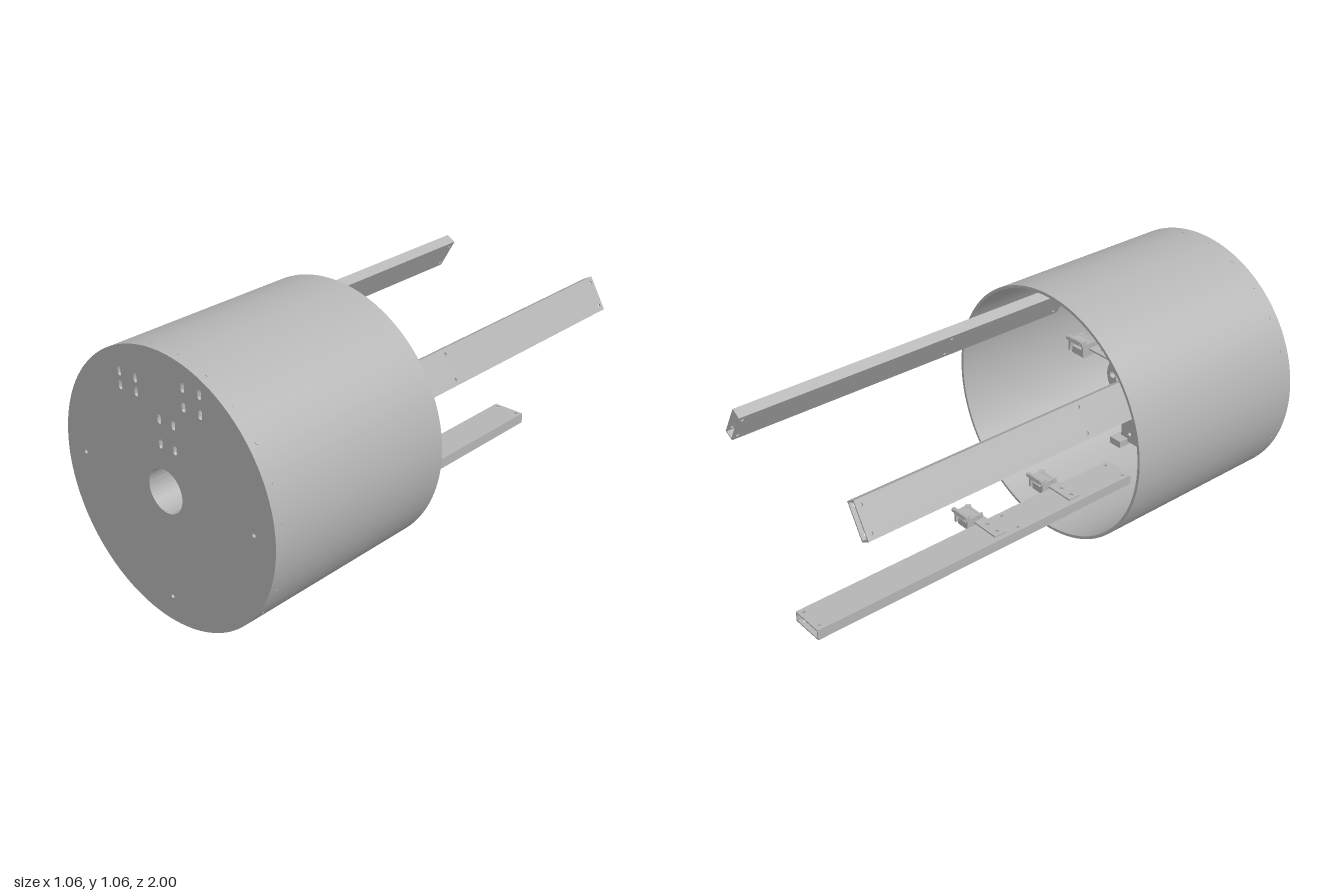
import * as THREE from 'three';
import { toCreasedNormals } from 'three/addons/utils/BufferGeometryUtils.js';

const AXIS = 0.532, R = 0.53, BACK = 0.155, RAIL_END = 0.58;

export function createModel() {
  const model = new THREE.Group();
  const metal = new THREE.MeshStandardMaterial({ color: 0xb4b4b4 });
  metal.name = 'grey metal';

  const add = (parent, name, geo, x = 0, y = 0, z = 0) => {
    const m = new THREE.Mesh(geo, metal);
    m.name = name;
    m.position.set(x, y, z);
    parent.add(m);
    return m;
  };
  const circle = (x, y, r, T = THREE.Path) => {
    const p = new T();
    p.absarc(x, y, r, 0, Math.PI * 2, false);
    return p;
  };
  const slot = (x, y, w, h) => {
    const p = new THREE.Path(), r = w / 2, k = h / 2 - r;
    p.absarc(x, y + k, r, 0, Math.PI, false);
    p.absarc(x, y - k, r, Math.PI, Math.PI * 2, false);
    p.closePath();
    return p;
  };
  const rect = (x0, y0, x1, y1) => new THREE.Shape([
    new THREE.Vector2(x0, y0), new THREE.Vector2(x1, y0),
    new THREE.Vector2(x1, y1), new THREE.Vector2(x0, y1)]);
  const extrude = (shape, holes, depth, curveSegments = 16) => {
    shape.holes.push(...holes);
    return toCreasedNormals(new THREE.ExtrudeGeometry(shape,
      { depth, bevelEnabled: false, curveSegments }), 0.6);
  };
  const ring = (r, inner, depth) =>
    extrude(circle(0, 0, r, THREE.Shape), [circle(0, 0, inner)], depth, 96);

  // Drum wall, open at the back, with an inner flange behind the front plate
  add(model, 'drumWall', ring(R, R - 0.012, 0.99 - BACK), 0, AXIS, BACK);
  add(model, 'innerFlange', ring(R - 0.012, R - 0.04, 0.012), 0, AXIS, 0.95);

  // Front plate with slots, bolt holes and the central bore
  const holes = [circle(0, 0, 0.085)];
  const slotGroups = [
    [[-0.2, -0.118], [0.925, 0.873]],
    [[0.12, 0.2], [0.964, 0.892]],
    [[-0.008, 0.063], [0.807, 0.713]]];
  for (const [xs, ys] of slotGroups)
    for (const x of xs) for (const y of ys) holes.push(slot(x, y - AXIS, 0.017, 0.036));
  for (const [x, y] of [[-0.43, 0], [0.43, 0], [0, -0.428]]) holes.push(circle(x, y, 0.008));
  add(model, 'frontPlate', extrude(circle(0, 0, R, THREE.Shape), holes, 0.01, 96), 0, AXIS, 0.99);

  // Rim screws around the front of the drum
  for (let i = 0; i < 24; i++) {
    const a = (i + 0.5) / 24 * Math.PI * 2;
    const s = add(model, 'rimScrew', new THREE.CylinderGeometry(0.005, 0.005, 0.004, 8),
      Math.cos(a) * R, AXIS + Math.sin(a) * R, 0.965);
    s.rotation.z = a - Math.PI / 2;
  }

  // Bore tube and the perforated hub at its inner end
  add(model, 'boreTube', ring(0.093, 0.085, 0.39), 0, AXIS, 0.6);
  const hubHoles = [[-0.042, 0.567, 0.025], [-0.046, 0.507, 0.025], [0.011, 0.533, 0.031],
    [0.046, 0.578, 0.016], [0.062, 0.53, 0.015], [0.039, 0.483, 0.015]]
    .map(([x, y, r]) => circle(x, y - AXIS, r));
  add(model, 'hubDisc', extrude(circle(0, 0, 0.093, THREE.Shape), hubHoles, 0.02, 32), 0, AXIS, 0.58);

  // Mounting plate below the hub
  const mountHoles = [[-0.17, 0.3], [-0.17, 0.38], [-0.06, 0.3]].map(([x, y]) => circle(x, y, 0.009));
  add(model, 'hubMountPlate', extrude(rect(-0.2, 0.26, -0.01, 0.455), mountHoles, 0.015), 0, 0, 0.575);
  add(model, 'hubMountFoot', new THREE.BoxGeometry(0.06, 0.03, 0.06), -0.02, 0.26, 0.56);

  // Three hollow rectangular rails, spaced evenly around the axis
  const W = 0.145, H = 0.045, T = 0.006, len = 1 + RAIL_END;
  const railHoles = () => [0.98, 0.03, -0.55].flatMap(y =>
    [-0.05, 0.05].map(x => circle(x, y, 0.007)));
  ['bottomRail', 'leftRail', 'rightRail'].forEach((name, i) => {
    const rail = new THREE.Group();
    rail.name = name;
    rail.position.y = AXIS;
    rail.rotation.z = i * Math.PI * 2 / 3;
    const wide = extrude(rect(-W / 2, -RAIL_END, W / 2, 1), railHoles(), T, 8);
    wide.rotateX(-Math.PI / 2);
    add(rail, 'railInnerFace', wide, 0, -0.454 + H / 2 - T);
    add(rail, 'railOuterFace', wide, 0, -0.454 - H / 2);
    for (const s of [-1, 1])
      add(rail, 'railSide', new THREE.BoxGeometry(T, H - 2 * T, len),
        s * (W - T) / 2, -0.454, (RAIL_END - 1) / 2);
    model.add(rail);
  });

  // Sensor clips: drilled arm plate with a small jointed clamp at its end
  const clip = (y, z) => {
    const g = new THREE.Group();
    g.name = 'clipBracket';
    g.position.set(0, y, z);
    const arm = extrude(rect(-0.05, -0.028, 0.16, 0.028),
      [circle(-0.025, 0, 0.009), circle(0.035, 0, 0.009)], 0.007);
    arm.rotateX(-Math.PI / 2);
    add(g, 'armPlate', arm);
    add(g, 'clampBase', new THREE.BoxGeometry(0.07, 0.03, 0.075), 0.125, -0.018, -0.012);
    for (const x of [0.087, 0.163])
      add(g, 'clampCheek', new THREE.BoxGeometry(0.01, 0.05, 0.08), x, 0.005, -0.022);
    const lever = add(g, 'clampLever', new THREE.BoxGeometry(0.065, 0.016, 0.085), 0.125, 0.025, -0.03);
    lever.rotation.x = 0.25;
    for (const [py, pz] of [[0.034, -0.06], [0.018, 0.005]]) {
      const pin = add(g, 'clampPin', new THREE.CylinderGeometry(0.011, 0.011, 0.095, 12), 0.128, py, pz);
      pin.rotation.z = Math.PI / 2;
    }
    model.add(g);
  };
  clip(0.101, -0.118);
  clip(0.101, 0.28);
  clip(0.68, 0.49);

  return model;
}
